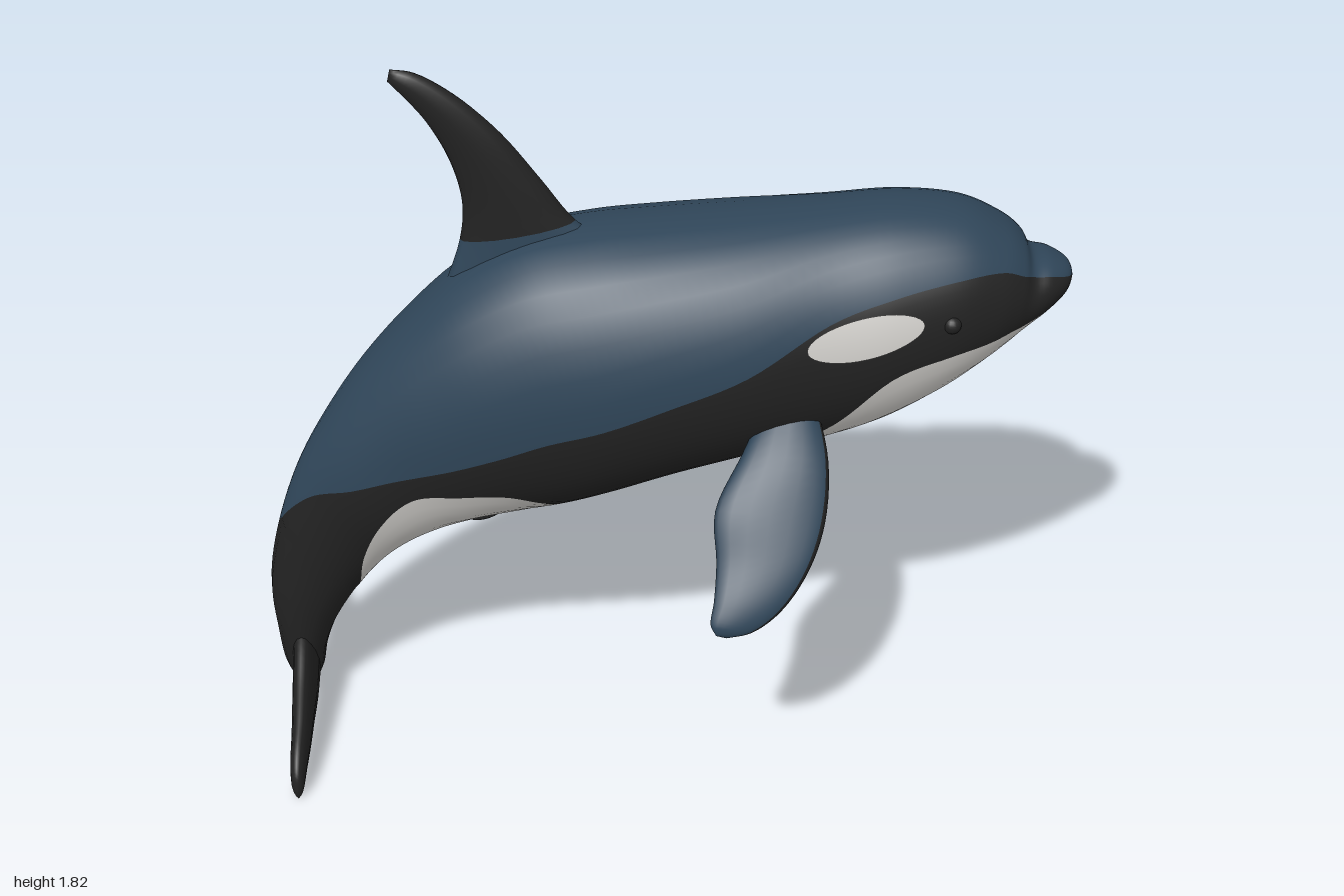
import * as THREE from 'three';
import { mergeVertices } from 'three/addons/utils/BufferGeometryUtils.js';

const mat = (name, color, side = THREE.FrontSide) => {
  const m = new THREE.MeshStandardMaterial({ color, side });
  m.name = name;
  return m;
};

// Body cross-sections, nose to tail: top x, top y, bottom x, bottom y, half width
const SECTIONS = [
  [0.998, 1.275, 0.998, 1.27, 0],
  [0.985, 1.31, 0.975, 1.235, 0.055],
  [0.94, 1.335, 0.93, 1.195, 0.1],
  [0.895, 1.345, 0.875, 1.15, 0.125],
  [0.87, 1.385, 0.83, 1.11, 0.15],
  [0.82, 1.425, 0.77, 1.06, 0.18],
  [0.72, 1.468, 0.67, 0.985, 0.215],
  [0.57, 1.48, 0.54, 0.91, 0.24],
  [0.4, 1.465, 0.4, 0.86, 0.255],
  [0.2, 1.45, 0.22, 0.815, 0.28],
  [0, 1.435, 0.05, 0.765, 0.29],
  [-0.16, 1.42, -0.1, 0.71, 0.288],
  [-0.32, 1.385, -0.22, 0.67, 0.275],
  [-0.47, 1.3, -0.33, 0.645, 0.255],
  [-0.6, 1.18, -0.44, 0.615, 0.225],
  [-0.72, 1.04, -0.53, 0.58, 0.19],
  [-0.82, 0.89, -0.62, 0.53, 0.16],
  [-0.9, 0.74, -0.7, 0.46, 0.125],
  [-0.96, 0.57, -0.77, 0.37, 0.105],
  [-0.995, 0.4, -0.83, 0.27, 0.095],
  [-0.99, 0.25, -0.865, 0.18, 0.085],
  [-0.975, 0.12, -0.885, 0.09, 0.06],
  [-0.93, 0.04, -0.93, 0.04, 0],
];
// Height (0 belly, 1 back) of the lower edge of the blue and upper edge of the white
const BLUE_EDGE = [0.9, 0.8, 0.83, 0.86, 0.82, 0.82, 0.78, 0.745, 0.69, 0.54, 0.47, 0.43,
  0.42, 0.41, 0.435, 0.51, 0.64, 0.85, 1, 1, 1, 1, 1];
const WHITE_EDGE = [0.1, 0.15, 0.2, 0.28, 0.33, 0.35, 0.385, 0.37, 0.16, 0.08, 0.07, 0.07,
  0.06, 0.2, 0.28, 0.37, 0.33, 0.2, 0, 0, 0, 0, 0];

// Smooth interpolation of a per-section value at fractional section s
function sample(get, s) {
  const last = SECTIONS.length - 1;
  const i = Math.min(Math.floor(s), last - 1);
  const t = s - i;
  const p = [-1, 0, 1, 2].map((k) => get(THREE.MathUtils.clamp(i + k, 0, last)));
  const m1 = (p[2] - p[0]) / 2, m2 = (p[3] - p[1]) / 2, d = p[1] - p[2];
  return p[1] + t * (m1 + t * (-3 * d - 2 * m1 - m2 + t * (2 * d + m1 + m2)));
}

// Point on the body skin; angle runs from 0 at the belly to PI at the back
function skin(s, angle, lift = 0) {
  const [tx, ty, bx, by, w] = [0, 1, 2, 3, 4].map((k) => sample((i) => SECTIONS[i][k], s));
  const half = Math.hypot(tx - bx, ty - by) / 2;
  const c = -Math.cos(angle) * (1 + lift / (half + 1e-6)) / 2;
  const sn = Math.sin(angle);
  return new THREE.Vector3(
    (tx + bx) / 2 + (tx - bx) * c,
    (ty + by) / 2 + (ty - by) * c,
    Math.sign(sn) * Math.abs(sn) ** 0.9 * (Math.max(w, 0) + lift),
  );
}

// Closed tube through rings of points, coloured row by row, facing outward
function loft(name, rings, materials, materialOfRow) {
  const n = rings[0].length;
  const pts = rings.flat();
  const tris = [];
  for (let k = 0; k < n; k++) {
    const k2 = (k + 1) % n;
    for (let i = 0; i < rings.length - 1; i++) {
      const a = i * n + k, b = i * n + k2, c = a + n, d = b + n;
      tris.push([a, b, d], [a, d, c]);
    }
  }
  const centre = pts.reduce((sum, p) => sum.add(p), new THREE.Vector3()).divideScalar(pts.length);
  const local = pts.map((p) => p.clone().sub(centre));
  let volume = 0;
  for (const [a, b, c] of tris) volume += local[a].dot(local[b].clone().cross(local[c]));
  const index = tris.flatMap(([a, b, c]) => (volume < 0 ? [a, c, b] : [a, b, c]));
  let geo = new THREE.BufferGeometry().setFromPoints(pts);
  geo.setIndex(index);
  const perRow = (rings.length - 1) * 6;
  for (let k = 0; k < n; k++) geo.addGroup(k * perRow, perRow, materialOfRow(k));
  geo = mergeVertices(geo, 1e-5);
  geo.computeVertexNormals();
  const mesh = new THREE.Mesh(geo, materials);
  mesh.name = name;
  return mesh;
}

// Lens-section fin between a leading and a trailing edge
function fin(name, lead, trail, normal, thick, materials, materialOfRow, t0 = 0, t1 = 1) {
  const [front, back] = [lead, trail].map(
    (edge) => new THREE.CatmullRomCurve3(edge.map((p) => new THREE.Vector3(...p))));
  const rings = [];
  const steps = Math.ceil(30 * (t1 - t0));
  for (let i = 0; i <= steps; i++) {
    const t = t0 + ((t1 - t0) * i) / steps;
    const a = front.getPoint(t), b = back.getPoint(t);
    const h = thick * (1 - 0.6 * t) * Math.sqrt(Math.max(0, 1 - t ** 8));
    rings.push(Array.from({ length: 16 }, (_, k) => {
      const ang = (k / 16) * Math.PI * 2;
      return a.clone().lerp(b, (1 - Math.cos(ang)) / 2).addScaledVector(normal, h * Math.sin(ang));
    }));
  }
  return loft(name, rings, materials, materialOfRow);
}

// Oval marking that follows the skin
function patch(name, s0, angle0, rs, ra, bulge, material) {
  const geo = new THREE.CircleGeometry(1, 40);
  const disc = new THREE.RingGeometry(0, 1, 40, 8);
  geo.dispose();
  const p = disc.attributes.position;
  for (let i = 0; i < p.count; i++) {
    const x = p.getX(i), y = p.getY(i);
    const v = skin(s0 + rs * x, angle0 + ra * y, 0.005 + bulge * Math.max(0, 1 - x * x - y * y));
    p.setXYZ(i, v.x, v.y, v.z);
  }
  disc.computeVertexNormals();
  const mesh = new THREE.Mesh(disc, material);
  mesh.name = name;
  return mesh;
}

export function createModel() {
  const blue = mat('slate blue', 0x2f4558);
  const black = mat('black', 0x222222);
  const white = mat('white', 0xd2d0cc, THREE.DoubleSide);
  const dark = mat('dark marking', 0x1e1e1e, THREE.DoubleSide);
  const model = new THREE.Group();
  model.name = 'whale';

  // Body: white belly, black flank and blue back strips on each side
  const ROWS = 8;
  const rings = [];
  for (let i = 0; i <= (SECTIONS.length - 1) * 6; i++) {
    const s = i / 6;
    const edge = (list) => Math.acos(1 - 2 * THREE.MathUtils.clamp(sample((k) => list[k], s), 0, 1));
    const marks = [0, edge(WHITE_EDGE), edge(BLUE_EDGE), Math.PI];
    const angles = [];
    for (let b = 0; b < 3; b++) {
      for (let k = 0; k < ROWS; k++) angles.push(THREE.MathUtils.lerp(marks[b], marks[b + 1], k / ROWS));
    }
    const mirrored = angles.slice(1).reverse().map((a) => -a);
    rings.push([...angles, Math.PI, ...mirrored].map((a) => skin(s, a)));
  }
  model.add(loft('body', rings, [white, black, blue],
    (k) => Math.floor(Math.min(k, ROWS * 6 - 1 - k) / ROWS)));

  // Dorsal fin with a blue base
  const lead = [[-0.12, 1.38, 0], [-0.19, 1.43, 0], [-0.27, 1.54, 0], [-0.36, 1.66, 0],
    [-0.46, 1.755, 0], [-0.55, 1.81, 0], [-0.605, 1.82, 0]];
  const trail = [[-0.52, 1.22, 0], [-0.465, 1.38, 0], [-0.455, 1.48, 0], [-0.48, 1.59, 0],
    [-0.53, 1.69, 0], [-0.58, 1.755, 0], [-0.612, 1.79, 0]];
  const sideways = new THREE.Vector3(0, 0, 1);
  model.add(fin('dorsalFinBase', lead, trail, sideways, 0.045, [blue], () => 0, 0, 1 / 6));
  model.add(fin('dorsalFin', lead, trail, sideways, 0.045, [black], () => 0, 1 / 6, 1));

  for (const side of [1, -1]) {
    const label = side > 0 ? 'near' : 'far';
    const flip = (edge) => edge.map(([x, y, z]) => [x, y, z * side]);

    // Flipper: blue outside, black inside and along the leading edge
    model.add(fin(label + 'Flipper',
      flip([[0.38, 1.03, 0.17], [0.405, 0.93, 0.29], [0.395, 0.82, 0.38], [0.355, 0.73, 0.45],
        [0.29, 0.65, 0.5], [0.22, 0.605, 0.525], [0.16, 0.593, 0.53]]),
      flip([[0.26, 1.02, 0.17], [0.2, 0.94, 0.27], [0.135, 0.84, 0.36], [0.137, 0.74, 0.43],
        [0.13, 0.67, 0.49], [0.122, 0.625, 0.52], [0.135, 0.6, 0.53]]),
      new THREE.Vector3(0, 0.66, 0.75 * side), 0.035, [blue, black],
      (k) => (k >= 1 && k < 8 ? 0 : 1)));

    // Tail fluke
    model.add(fin(label + 'Fluke',
      flip([[-0.93, 0.28, 0], [-0.92, 0.25, 0.1], [-0.915, 0.2, 0.2], [-0.91, 0.155, 0.3],
        [-0.91, 0.115, 0.38], [-0.91, 0.075, 0.42], [-0.91, 0.03, 0.43]]),
      flip([[-0.915, 0.05, 0], [-0.91, 0.035, 0.1], [-0.91, 0.03, 0.2], [-0.91, 0.025, 0.3],
        [-0.91, 0.02, 0.38], [-0.91, 0.005, 0.41], [-0.91, 0.004, 0.425]]),
      new THREE.Vector3(1, 0, 0), 0.035, [black], () => 0));

    // White eye patch and small eye
    model.add(patch(label + 'EyePatch', 7.44, 1.79 * side, 0.85, 0.18, 0, white));
    const eye = new THREE.Mesh(new THREE.SphereGeometry(0.022, 16, 12), black);
    eye.name = label + 'Eye';
    eye.position.copy(skin(6.1, 1.72 * side, -0.008));
    model.add(eye);
  }

  // Dark mark under the rear belly
  model.add(patch('bellyMark', 13.9, 0, 0.45, 0.42, 0.012, dark));
  return model;
}
